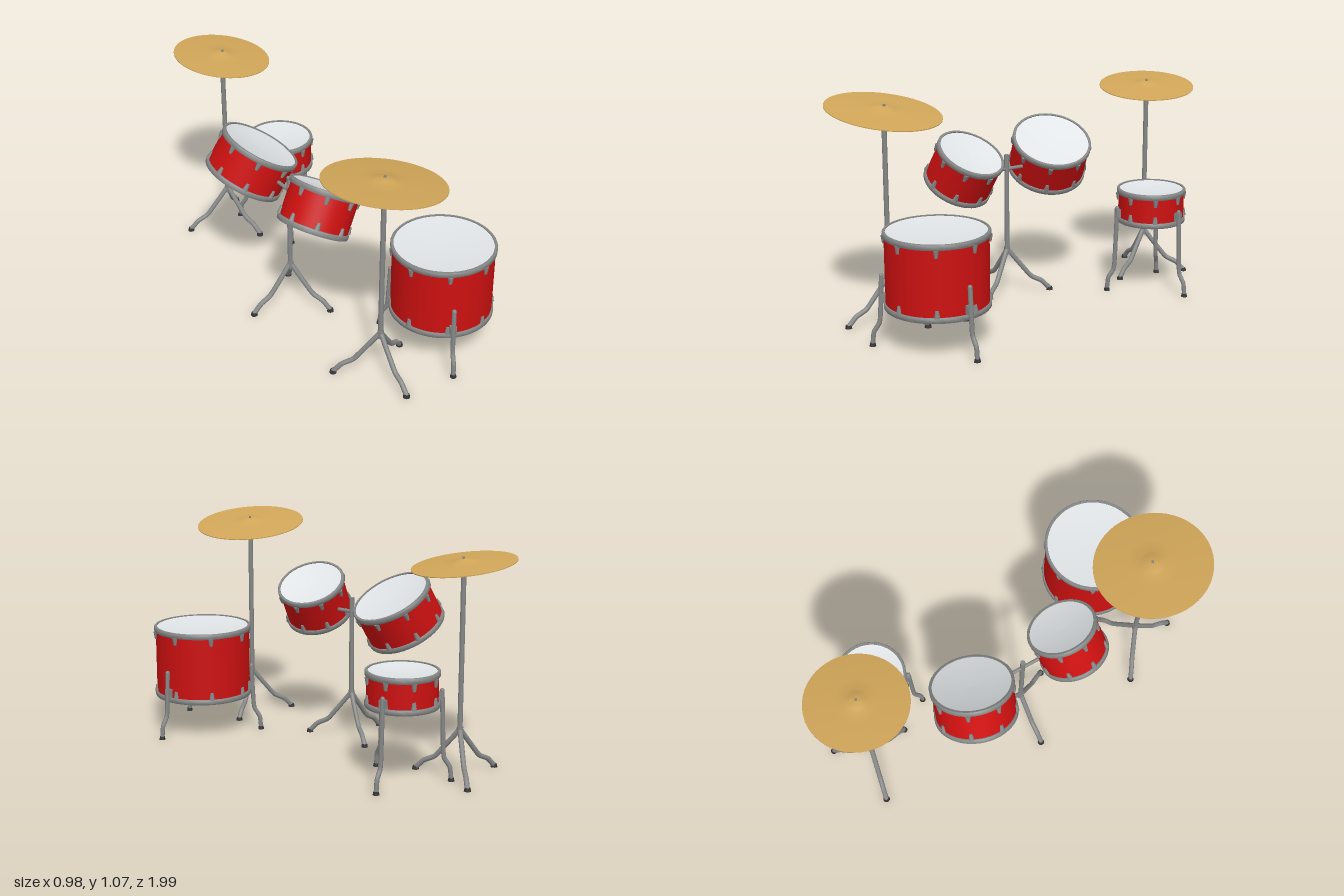
import * as THREE from 'three';
import { toCreasedNormals } from 'three/addons/utils/BufferGeometryUtils.js';

const mat = (name, color, side = THREE.FrontSide) => {
  const m = new THREE.MeshStandardMaterial({ color, side });
  m.name = name;
  return m;
};

export function createModel() {
  const red = mat('red shell', 0xcc1010);
  const metal = mat('grey metal', 0x858786);
  const skin = mat('white skin', 0xe0e4e6, THREE.DoubleSide);
  const brass = mat('brass', 0xd0a558);
  const rubber = mat('dark rubber', 0x333333);
  const up = new THREE.Vector3(0, 1, 0);
  const root = new THREE.Group();
  root.name = 'drumKit';

  const group = (name, parent = root) => {
    const g = new THREE.Group();
    g.name = name;
    parent.add(g);
    return g;
  };
  const add = (parent, name, geo, m, x = 0, y = 0, z = 0) => {
    const mesh = new THREE.Mesh(geo, m);
    mesh.name = name;
    mesh.position.set(x, y, z);
    parent.add(mesh);
    return mesh;
  };
  const lathe = (pts, seg = 48) =>
    toCreasedNormals(new THREE.LatheGeometry(pts.map(p => new THREE.Vector2(...p)), seg), 0.7);

  // Bent tube through [radius, height] points, with a rubber foot
  const bentLeg = (parent, name, pts, angle, r) => {
    const leg = group(name, parent);
    leg.rotation.y = -angle;
    const path = new THREE.CurvePath();
    const v = pts.map(p => new THREE.Vector3(p[0], p[1], 0));
    let from = v[0];
    for (let i = 1; i < v.length - 1; i++) {
      // rounded bend at every inner point
      const a = v[i].clone().lerp(v[i - 1], 0.2), b = v[i].clone().lerp(v[i + 1], 0.2);
      path.add(new THREE.LineCurve3(from, a));
      path.add(new THREE.QuadraticBezierCurve3(a, v[i], b));
      from = b;
    }
    const end = v[v.length - 1];
    path.add(new THREE.LineCurve3(from, end));
    add(leg, 'legTube', new THREE.TubeGeometry(path, 40, r, 10), metal);
    add(leg, 'legTop', new THREE.SphereGeometry(r, 10, 6), metal, v[0].x, v[0].y);
    add(leg, 'foot', new THREE.CylinderGeometry(r * 1.1, r * 1.4, 0.016, 12), rubber, end.x, 0.008);
  };

  // Drum standing on its own origin, axis along y
  const drum = (name, R, H, lugTurn) => {
    const g = group(name);
    const shellR = R - 0.008, hoop = 0.026;
    add(g, 'shell', new THREE.CylinderGeometry(shellR, shellR, H - 0.02, 48, 1, true), red, 0, H / 2);
    const hoopGeo = lathe([[R - 0.014, 0], [R - 0.003, 0], [R, 0.004], [R, hoop - 0.004],
      [R - 0.003, hoop], [R - 0.014, hoop], [R - 0.014, 0]]);
    // slightly dished skins
    const skinGeo = new THREE.LatheGeometry([[0, -0.014], [R * 0.35, -0.012], [R * 0.7, -0.007], [R - 0.01, 0]]
      .map(p => new THREE.Vector2(...p)), 48);
    const lugGeo = new THREE.CylinderGeometry(0.014, 0.008, 0.036, 8);
    for (const top of [true, false]) {
      const end = group(top ? 'topEnd' : 'bottomEnd', g);
      if (top) end.position.y = H;
      else end.rotation.x = Math.PI;
      add(end, 'hoop', hoopGeo, metal, 0, -hoop);
      add(end, 'skin', skinGeo, skin, 0, -0.004);
      for (let i = 0; i < 8; i++) {
        const a = (top ? 1 : -1) * (lugTurn + i * Math.PI / 4) + (top ? 0 : Math.PI);
        add(end, 'lug', lugGeo, metal, Math.sin(a) * shellR, -hoop - 0.016, Math.cos(a) * shellR);
      }
    }
    return g;
  };

  // Standing drum with three legs
  const legged = (name, x, z, R, y0, y1, legTop, reach, turn) => {
    const g = drum(name, R, y1 - y0, 0.23);
    g.position.set(x, y0, z);
    const legs = group(name + 'Legs');
    legs.position.set(x, 0, z);
    for (let i = 0; i < 3; i++) {
      const a = turn + i * Math.PI * 2 / 3;
      bentLeg(legs, 'drumLeg', [[R + 0.007, legTop], [R + 0.018, 0.115], [reach - 0.006, 0.068], [reach, 0.01]], a, 0.011);
      add(legs, 'legClamp', new THREE.BoxGeometry(0.03, 0.04, 0.03), metal,
        Math.cos(a) * R, y0 + 0.05, Math.sin(a) * R).rotation.y = -a;
    }
  };
  legged('floorTom', 0.172, 0.672, 0.245, 0.18, 0.54, 0.335, 0.3, -0.06);
  legged('snareDrum', 0.12, -0.613, 0.172, 0.355, 0.525, 0.43, 0.228, -0.19);

  // Hung toms, tilted toward the player and turned inward
  const hungTom = (name, R, H, top, yaw) => {
    const g = drum(name, R, H, 0.2);
    const axis = new THREE.Vector3(0.5 * Math.cos(yaw), 0.866, 0.5 * Math.sin(yaw)).normalize();
    g.quaternion.setFromUnitVectors(up, axis);
    g.position.set(...top).addScaledVector(axis, -H);
  };
  hungTom('largeTom', 0.2, 0.2, [-0.222, 0.757, -0.245], 0.29);
  hungTom('smallTom', 0.172, 0.207, [-0.19, 0.762, 0.255], -0.27);

  // Tripod stands
  const stand = (name, x, z, height, turn) => {
    const g = group(name);
    g.position.set(x, 0, z);
    add(g, 'pole', new THREE.CylinderGeometry(0.012, 0.012, height - 0.2, 16), metal, 0, (height + 0.2) / 2);
    add(g, 'collar', new THREE.CylinderGeometry(0.015, 0.015, 0.04, 16), metal, 0, 0.215);
    for (let i = 0; i < 3; i++)
      bentLeg(g, 'standLeg', [[0, 0.225], [0.035, 0.18], [0.12, 0.075], [0.175, 0.05], [0.215, 0.008]],
        turn + i * Math.PI * 2 / 3, 0.012);
    return g;
  };
  const tomStand = stand('tomStand', -0.24, 0.02, 0.71, Math.PI);
  const bar = add(tomStand, 'crossbar', new THREE.CylinderGeometry(0.009, 0.009, 0.24, 12), metal, 0, 0.638, 0);
  bar.rotation.x = Math.PI / 2;
  stand('frontCymbalStand', -0.213, 0.713, 1.03, 1.62);
  stand('rearCymbalStand', -0.116, -0.763, 1.0, 1.26);

  // Cymbals: thin bowed plates with a bell and a nut
  const cymbal = (name, R, x, y, z, normal) => {
    const g = group(name);
    g.position.set(x, y, z);
    g.quaternion.setFromUnitVectors(up, new THREE.Vector3(...normal).normalize());
    const t = 0.004;
    const upper = [[R, -0.006], [R * 0.75, -0.001], [R * 0.45, 0.003], [R * 0.24, 0.005],
      [R * 0.18, 0.01], [R * 0.1, 0.016], [0, 0.018]];
    const lower = upper.map(([r, h]) => [r, h - t]).reverse();
    add(g, 'plate', lathe([...lower, ...upper]), brass);
    add(g, 'nut', new THREE.CylinderGeometry(0.006, 0.006, 0.012, 10), metal, 0, 0.02);
  };
  cymbal('frontCymbal', 0.275, -0.213, 1.024, 0.713, [0.165, 1, -0.07]);
  cymbal('rearCymbal', 0.24, -0.116, 1.0, -0.763, [0.115, 1, 0.07]);

  return root;
}
